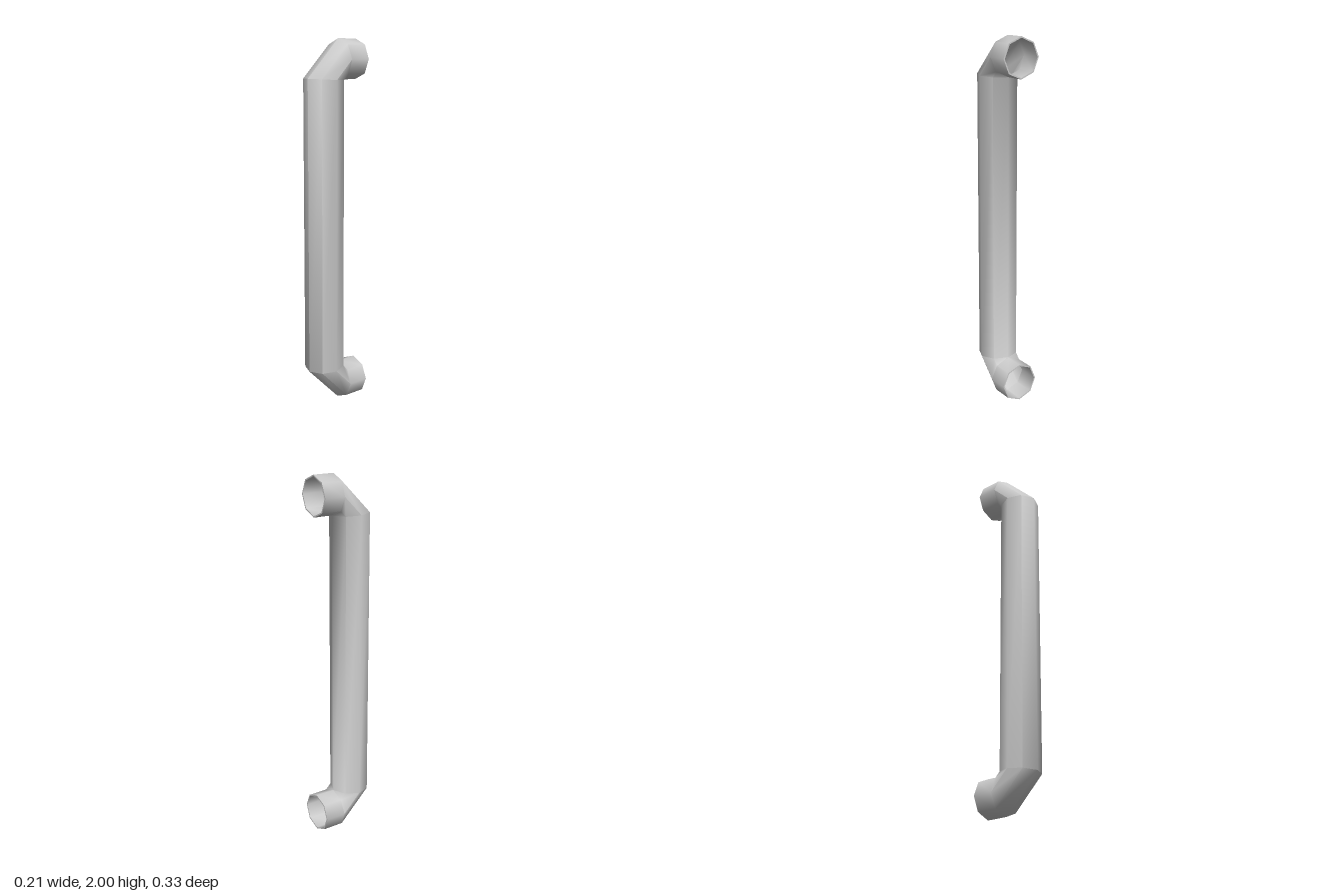
import * as THREE from 'three';
import { toCreasedNormals } from 'three/addons/utils/BufferGeometryUtils.js';

const SIDES = 8;
const RADIUS = 0.107;
const BORE = 0.93; // inner size relative to the outside

// Each ring spans from a point on the outside of the bend to one on the inside: [y, z]
const upperRings = [
  { outer: [2.0, -0.163], inner: [1.787, -0.163] },
  { outer: [2.0, -0.042], inner: [1.788, -0.051] },
  { outer: [1.798, 0.163], inner: [1.786, -0.05] },
];

// Lower elbow mirrors the upper one
const flip = ([y, z]) => [2.004 - y, z];
const lowerRings = upperRings
  .map((r) => ({ outer: flip(r.outer), inner: flip(r.inner) }))
  .reverse();

function ringPoints({ outer, inner }, scale) {
  const points = [];
  for (let j = 0; j < SIDES; j++) {
    const a = (j / SIDES) * Math.PI * 2;
    const t = Math.cos(a) * scale;
    points.push(
      RADIUS * scale * Math.sin(a),
      (outer[0] + inner[0]) / 2 + (t * (outer[0] - inner[0])) / 2,
      (outer[1] + inner[1]) / 2 + (t * (outer[1] - inner[1])) / 2
    );
  }
  return points;
}

export function createModel() {
  const group = new THREE.Group();
  group.name = 'pullHandle';

  // Run down the outside, then back up through the bore, closing at both rims
  const rings = [...upperRings, ...lowerRings];
  const sections = [
    ...rings.map((r) => ringPoints(r, 1)),
    ...[...rings].reverse().map((r) => ringPoints(r, BORE)),
  ];
  const index = [];
  for (let i = 0; i < sections.length; i++) {
    const next = (i + 1) % sections.length;
    for (let j = 0; j < SIDES; j++) {
      const k = (j + 1) % SIDES;
      const a = i * SIDES + j, b = next * SIDES + j;
      const c = i * SIDES + k, d = next * SIDES + k;
      index.push(a, b, c, c, b, d);
    }
  }
  const geometry = new THREE.BufferGeometry();
  geometry.setAttribute('position', new THREE.Float32BufferAttribute(sections.flat(), 3));
  geometry.setIndex(index);

  // Hollow bar with chamfered elbows and open mounting ends
  const bar = new THREE.Mesh(
    toCreasedNormals(geometry, 1.0),
    new THREE.MeshStandardMaterial({ color: 0xcccccc })
  );
  bar.name = 'handleTube';
  group.add(bar);
  return group;
}
